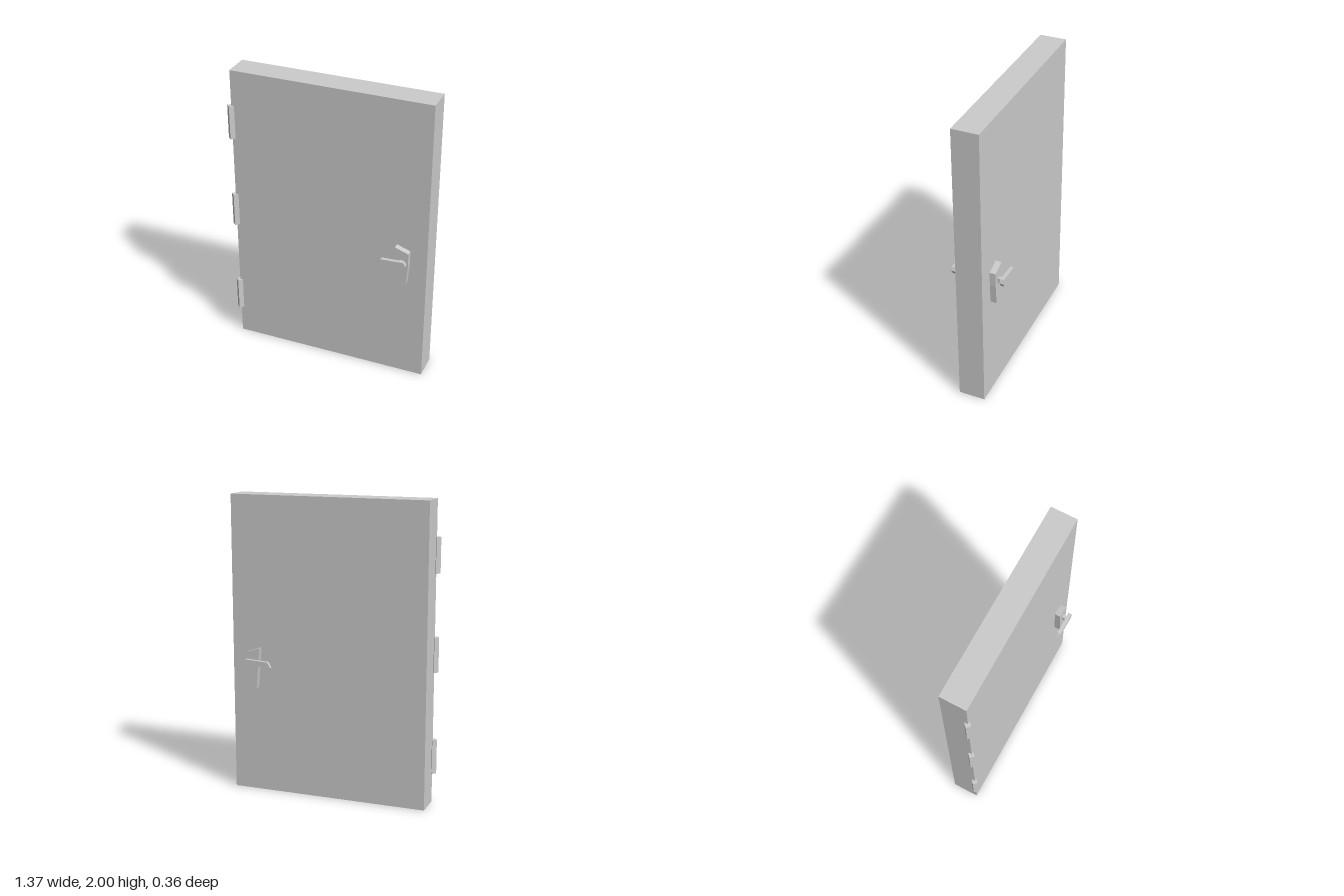
import * as THREE from 'three';

const material = new THREE.MeshStandardMaterial({ color: 0xcccccc, flatShading: true });

function addMesh(parent, name, geometry, x = 0, y = 0, z = 0) {
  const mesh = new THREE.Mesh(geometry, material);
  mesh.name = name;
  mesh.position.set(x, y, z);
  parent.add(mesh);
  return mesh;
}

// Flat prism from an outline, centred on z = 0
function prism(points, depth) {
  const shape = new THREE.Shape(points.map(([x, y]) => new THREE.Vector2(x, y)));
  return new THREE.ExtrudeGeometry(shape, { depth, bevelEnabled: false }).translate(0, 0, -depth / 2);
}

export function createModel() {
  const door = new THREE.Group();
  door.name = 'door';

  // Door slab
  addMesh(door, 'slab', new THREE.BoxGeometry(1.342, 2, 0.178), 0.013, 1, 0);

  // Square hinge pins set diagonally on the front left edge
  const hinge = new THREE.CylinderGeometry(0.024, 0.024, 0.232, 4);
  for (const y of [0.315, 0.999, 1.643]) addMesh(door, 'hinge', hinge, -0.662, y, 0.089);

  // Crooked back plate and tapered lever, the same on both faces
  const plate = prism([
    [0.479, 0.995], [0.489, 0.868], [0.502, 0.717],
    [0.56, 0.729], [0.571, 0.87], [0.571, 0.963],
  ], 0.05);
  const lever = prism([
    [0.38, 0.879], [0.489, 0.88], [0.547, 0.866],
    [0.568, 0.898], [0.557, 0.924], [0.4, 0.915],
  ], 0.024);
  const stem = new THREE.BoxGeometry(0.026, 0.032, 0.04);

  for (const side of [1, -1]) {
    const handle = new THREE.Group();
    handle.name = side > 0 ? 'frontHandle' : 'backHandle';
    addMesh(handle, 'backPlate', plate, 0, 0, side * 0.104);
    addMesh(handle, 'stem', stem, 0.528, 0.894, side * 0.142);
    addMesh(handle, 'lever', lever, 0, 0, side * 0.166);
    door.add(handle);
  }
  return door;
}
